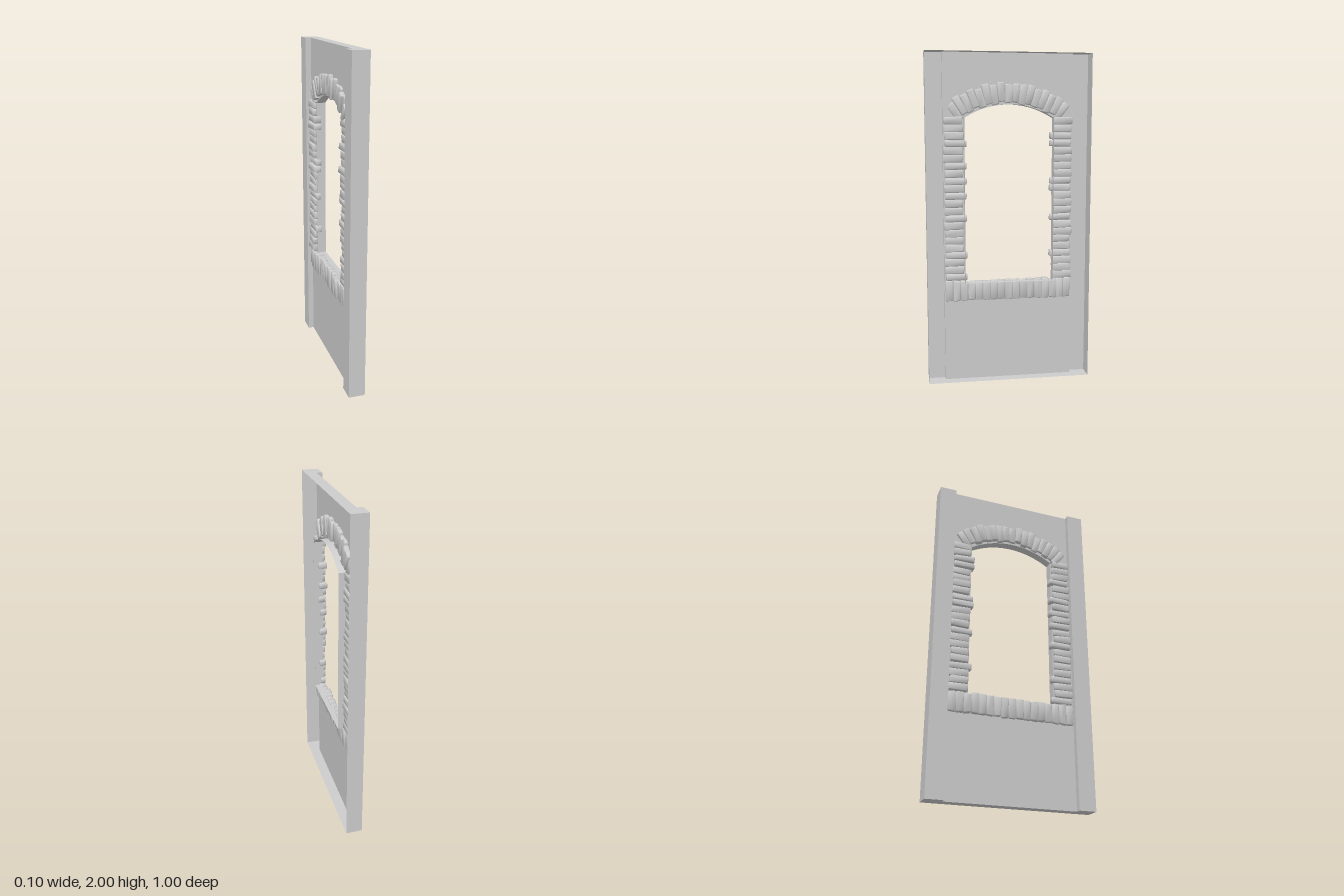
import * as THREE from 'three';
import { RoundedBoxGeometry } from 'three/addons/geometries/RoundedBoxGeometry.js';
import { mergeVertices, toCreasedNormals } from 'three/addons/utils/BufferGeometryUtils.js';

const PANEL_X = -0.015, REVEAL_X = 0.04, STEP_Z = 0.395;
const ARCH = { y: 1.204, r: 0.492, half: 0.27, sill: 0.62 };

export function createModel() {
  const root = new THREE.Group();
  const stone = new THREE.MeshStandardMaterial({ color: 0xcccccc });
  const sheet = new THREE.MeshStandardMaterial({ color: 0xcccccc, side: THREE.DoubleSide });

  let seed = 7;
  const rand = (a, b) => {
    seed = (seed * 16807) % 2147483647;
    return a + (b - a) * (seed / 2147483647);
  };

  const add = (name, geometry, material = sheet, parent = root) => {
    const mesh = new THREE.Mesh(geometry, material);
    mesh.name = name;
    parent.add(mesh);
    return mesh;
  };

  // Ribbon of flat quads between two matching rows of points
  const ribbon = (rowA, rowB) => {
    const points = [];
    for (let i = 0; i < rowA.length - 1; i++) {
      points.push(rowA[i], rowA[i + 1], rowB[i + 1], rowA[i], rowB[i + 1], rowB[i]);
    }
    const geometry = new THREE.BufferGeometry().setFromPoints(points);
    geometry.computeVertexNormals();
    return geometry;
  };

  // Stepped wall outline in plan (x, z), open towards +x
  const plan = [
    [0.05, -0.5], [-0.05, -0.5], [-0.05, -STEP_Z], [PANEL_X, -STEP_Z],
    [PANEL_X, STEP_Z], [-0.05, STEP_Z], [-0.05, 0.5], [0.05, 0.5],
  ];
  const at = (y) => (p) => new THREE.Vector3(p[0], y, p[1]);
  for (const [name, from, to] of [['rightPier', 0, 4], ['leftPier', 4, 8]]) {
    const part = plan.slice(from, to);
    add(name, ribbon(part.map(at(0)), part.map(at(2))));
  }
  for (const [name, y] of [['bottomPlate', 0], ['topPlate', 2]]) {
    const shape = new THREE.Shape(plan.map((p) => new THREE.Vector2(...p)));
    add(name, new THREE.ShapeGeometry(shape).rotateX(Math.PI / 2)).position.y = y;
  }

  // Arched opening outline in elevation (z, y)
  const spread = Math.asin(ARCH.half / ARCH.r);
  const opening = [new THREE.Vector2(ARCH.half, ARCH.sill)];
  for (let i = 0; i <= 16; i++) {
    const a = spread * (1 - i / 8);
    opening.push(new THREE.Vector2(ARCH.r * Math.sin(a), ARCH.y + ARCH.r * Math.cos(a)));
  }
  opening.push(new THREE.Vector2(-ARCH.half, ARCH.sill));

  // Recessed panel with the opening cut out
  const face = new THREE.Shape([[-STEP_Z, 0], [STEP_Z, 0], [STEP_Z, 2], [-STEP_Z, 2]]
    .map((p) => new THREE.Vector2(...p)));
  face.holes.push(new THREE.Path(opening));
  add('panel', new THREE.ShapeGeometry(face).rotateY(-Math.PI / 2)).position.x = PANEL_X;

  // Thin lining running through the opening
  const loop = [...opening, opening[0]];
  const row = (x) => loop.map((p) => new THREE.Vector3(x, p.y, p.x));
  add('openingLining', ribbon(row(PANEL_X), row(REVEAL_X)));

  // Worn stone: rounded block with skewed ends and slightly uneven faces
  const brickGeometry = (depth, height, width) => {
    let g = new RoundedBoxGeometry(depth, height, width, 2, 0.007);
    const p = g.attributes.position;
    const [skew, taper, twist, phase] = [rand(-0.1, 0.1), rand(-0.12, 0.12), rand(-0.05, 0.05), rand(0, 6)];
    for (let i = 0; i < p.count; i++) {
      const x = p.getX(i), y = p.getY(i), z = p.getZ(i);
      const bump = 1 + 0.04 * Math.sin(y * 70 + z * 60 + phase);
      p.setXYZ(i, x * bump + twist * (y + z), y * (1 + taper * z / width), z + skew * y * (height < width ? 1 : 0.2));
    }
    g.deleteAttribute('uv');
    g.deleteAttribute('normal');
    g = mergeVertices(g, 1e-5);
    return toCreasedNormals(g, 0.75);
  };

  const group = (name) => {
    const g = new THREE.Group();
    g.name = name;
    root.add(g);
    return g;
  };

  const brick = (parent, y, z, height, width, angle = 0) => {
    const back = rand(-0.042, -0.028), front = rand(0.0, 0.013);
    const mesh = add('brick', brickGeometry(front - back, height, width), stone, parent);
    mesh.position.set((front + back) / 2, y, z);
    mesh.rotation.x = angle + rand(-0.025, 0.025);
  };

  // Jamb courses on both sides; some bricks poke into the opening
  for (const [name, side] of [['leftJambBricks', 1], ['rightJambBricks', -1]]) {
    const jamb = group(name);
    for (let i = 0; i < 22; i++) {
      const poke = i % 5 === 3 || rand(0, 1) < 0.08;
      const z = poke ? 0.32 : 0.333 + rand(-0.004, 0.004);
      brick(jamb, 0.651 + i * 0.0452, side * z, poke ? 0.039 : 0.045, poke ? 0.13 : rand(0.108, 0.12));
    }
  }

  // Upright bricks under the opening
  const sill = group('sillBricks');
  for (let i = 0; i < 17; i++) {
    brick(sill, 0.564 + rand(-0.003, 0.003), (i - 8) * 0.0458, rand(0.116, 0.126), 0.045);
  }

  // Radiating bricks over the arch
  const arch = group('archBricks');
  for (let i = 0; i < 17; i++) {
    const a = (i - 8) / 8 * 0.62;
    const r = 0.558 + (i % 2 ? 0.006 : -0.004) + rand(-0.004, 0.004);
    brick(arch, ARCH.y + r * Math.cos(a), r * Math.sin(a), rand(0.108, 0.122), 0.044, a);
  }

  return root;
}
